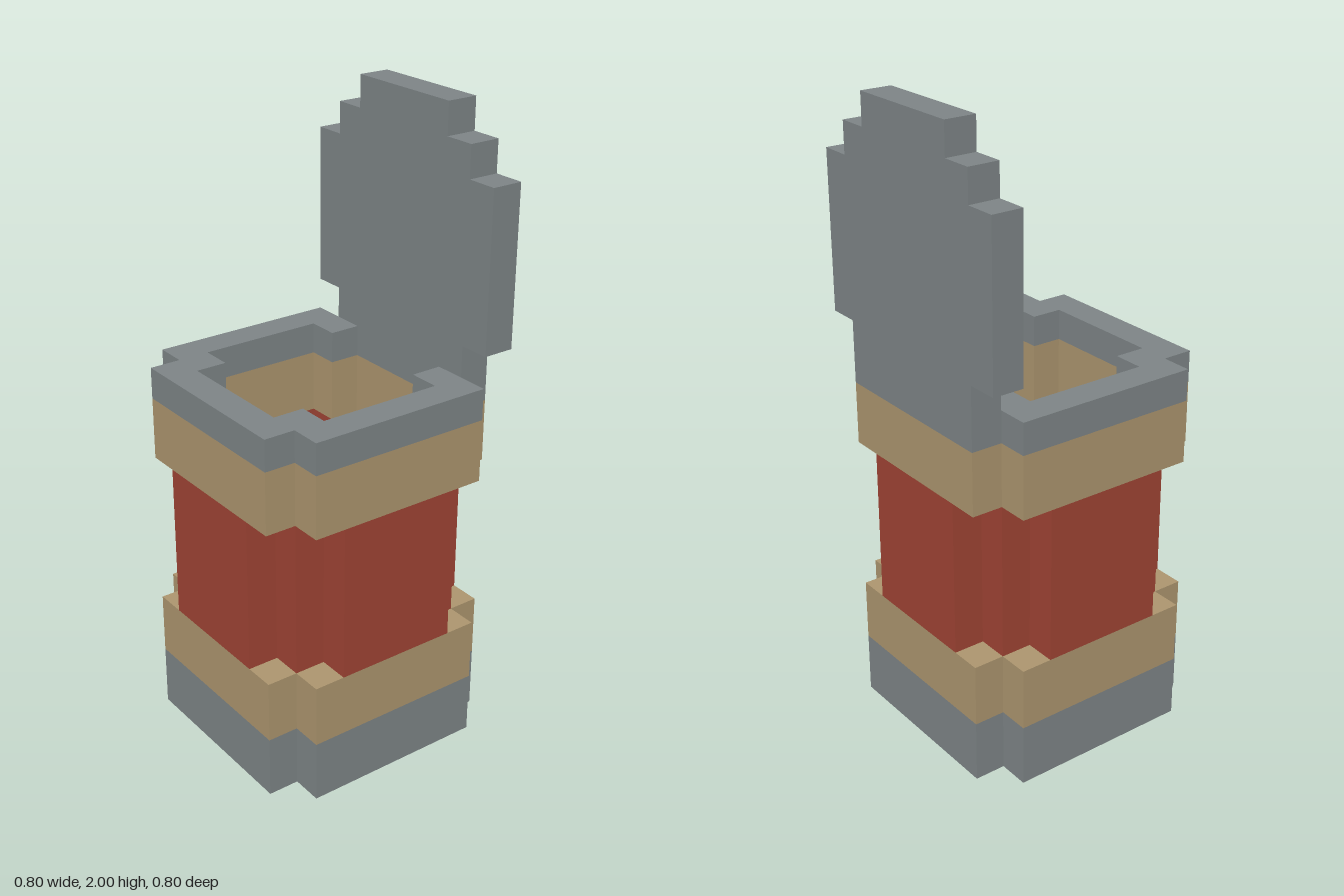
import * as THREE from 'three';

const steel = new THREE.MeshStandardMaterial({ name: 'greySteel', color: 0x7e8587 });
const tan = new THREE.MeshStandardMaterial({ name: 'tanBand', color: 0xad966f });
const red = new THREE.MeshStandardMaterial({ name: 'redBody', color: 0xa04434 });

// Square of half-width r with a 0.1 notch cut out of each corner
function notchedSquare(r) {
  const n = r - 0.1;
  return [[n, -r], [n, -n], [r, -n], [r, n], [n, n], [n, r],
    [-n, r], [-n, n], [-r, n], [-r, -n], [-n, -n], [-n, -r]]
    .map(([x, y]) => new THREE.Vector2(x, y));
}

// Upright slab from y0 to y1, optionally with the inner opening
function slab(name, r, y0, y1, material, hollow) {
  const shape = new THREE.Shape(notchedSquare(r));
  if (hollow) shape.holes.push(new THREE.Path(notchedSquare(0.3)));
  const geo = new THREE.ExtrudeGeometry(shape, { depth: y1 - y0, bevelEnabled: false });
  geo.rotateX(-Math.PI / 2).translate(0, y0, 0);
  const mesh = new THREE.Mesh(geo, material);
  mesh.name = name;
  return mesh;
}

export function createModel() {
  const model = new THREE.Group();
  model.name = 'openCanister';

  // Stacked hollow bands and the raised floor
  model.add(
    slab('baseRing', 0.4, 0, 0.2, steel, true),
    slab('floor', 0.3, 0.1, 0.2, steel, false),
    slab('lowerBand', 0.4, 0.2, 0.4, tan, true),
    slab('upperBand', 0.4, 0.9, 1.1, tan, true),
    slab('rim', 0.4, 1.1, 1.2, steel, true),
  );

  // Body: four wall panels and four set-back corner posts
  const body = new THREE.Group();
  body.name = 'body';
  for (let i = 0; i < 4; i++) {
    const side = new THREE.Group();
    side.name = 'bodySide';
    const panel = new THREE.Mesh(new THREE.BoxGeometry(0.4, 0.5, 0.1), red);
    panel.name = 'wallPanel';
    panel.position.set(0, 0.65, 0.35);
    const post = new THREE.Mesh(new THREE.BoxGeometry(0.1, 0.5, 0.1), red);
    post.name = 'cornerPost';
    post.position.set(0.25, 0.65, 0.25);
    side.add(panel, post);
    side.rotation.y = i * Math.PI / 2;
    body.add(side);
  }
  model.add(body);

  // Opened lid standing on the back edge, mirrored from half its stepped outline
  const half = [[0.3, 1.2], [0.3, 1.3], [0.4, 1.3], [0.4, 1.8], [0.3, 1.8], [0.3, 1.9], [0.2, 1.9], [0.2, 2]];
  const outline = [...half, ...half.map(([x, y]) => [-x, y]).reverse()]
    .map(([x, y]) => new THREE.Vector2(x, y));
  const lidGeo = new THREE.ExtrudeGeometry(new THREE.Shape(outline), { depth: 0.1, bevelEnabled: false });
  const lid = new THREE.Mesh(lidGeo, steel);
  lid.name = 'lid';
  lid.position.z = -0.4;
  model.add(lid);

  return model;
}
